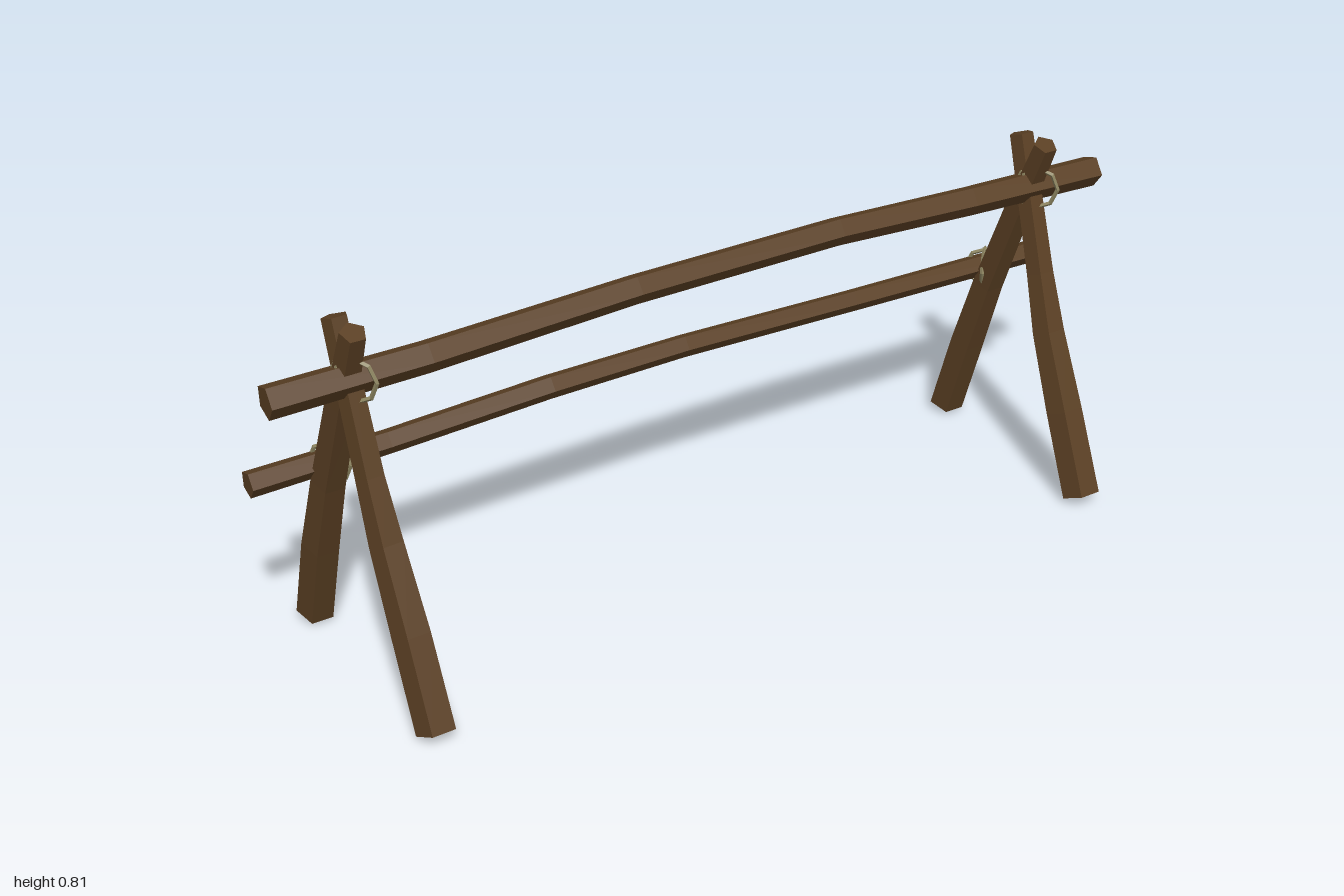
import * as THREE from 'three';

const wood = new THREE.MeshStandardMaterial({ color: 0x5a3f23, flatShading: true });
wood.name = 'brown wood';
const rope = new THREE.MeshStandardMaterial({ color: 0x8c8460, flatShading: true });
rope.name = 'straw rope';

// Crooked five-sided log. stations: [x, y, z, radius]; ref: direction of angle zero
function log(name, stations, ref, phase) {
  const sides = 5;
  const pts = stations.map(s => new THREE.Vector3(s[0], s[1], s[2]));
  const last = pts.length - 1;
  const rings = pts.map((p, i) => {
    const t = pts[Math.min(i + 1, last)].clone().sub(pts[Math.max(i - 1, 0)]).normalize();
    const u = ref.clone().addScaledVector(t, -ref.dot(t)).normalize();
    const v = u.clone().cross(t);
    return Array.from({ length: sides }, (_, k) => {
      const a = phase + k / sides * Math.PI * 2;
      return p.clone()
        .addScaledVector(u, Math.cos(a) * stations[i][3])
        .addScaledVector(v, Math.sin(a) * stations[i][3]);
    });
  });
  const out = [];
  const tri = (...vs) => vs.forEach(v => out.push(v.x, v.y, v.z));
  for (let k = 0; k < sides; k++) {
    const n = (k + 1) % sides;
    for (let i = 0; i < last; i++) {
      tri(rings[i][k], rings[i + 1][k], rings[i][n]);
      tri(rings[i][n], rings[i + 1][k], rings[i + 1][n]);
    }
    tri(pts[0], rings[0][k], rings[0][n]);
    tri(pts[last], rings[last][n], rings[last][k]);
  }
  const geo = new THREE.BufferGeometry();
  geo.setAttribute('position', new THREE.Float32BufferAttribute(out, 3));
  geo.computeVertexNormals();
  const mesh = new THREE.Mesh(geo, wood);
  mesh.name = name;
  return mesh;
}

// Two crossed rope loops around a joint
function lashing(name, x, y, z, radius, spread) {
  const g = new THREE.Group();
  g.name = name;
  for (const s of [1, -1]) {
    const loop = new THREE.Mesh(new THREE.TorusGeometry(radius, 0.005, 4, 8), rope);
    loop.name = 'ropeLoop';
    loop.rotation.set(0, Math.PI / 2 + s * 0.75, 0);
    loop.position.set(x, y, z + s * spread);
    g.add(loop);
  }
  return g;
}

export function createModel() {
  const model = new THREE.Group();
  model.name = 'hitchingRail';
  const X = new THREE.Vector3(1, 0, 0), Z = new THREE.Vector3(0, 0, 1);
  const legPhase = THREE.MathUtils.degToRad(54);

  // Crossed leg pairs; frontX and backX are the foot positions
  for (const [side, topX, frontX, backX] of [['left', 0.822, 0.82, 0.828], ['right', -0.83, -0.815, -0.845]]) {
    const fx = f => topX + (frontX - topX) * f, bx = f => topX + (backX - topX) * f;
    model.add(log(side + 'FrontLeg', [
      [fx(1), 0.017, 0.257, 0.043],
      [fx(0.9), 0.2, 0.177, 0.042],
      [fx(0.6), 0.37, 0.102, 0.037],
      [fx(0.3), 0.5, 0.058, 0.031],
      [fx(0), 0.803, -0.039, 0.027]], X, legPhase));
    model.add(log(side + 'BackLeg', [
      [bx(1), 0.017, -0.256, 0.041],
      [bx(0.9), 0.22, -0.19, 0.041],
      [bx(0.6), 0.4, -0.126, 0.037],
      [bx(0.2), 0.62, -0.036, 0.033],
      [bx(0), 0.803, 0.044, 0.027]], X, legPhase));
    model.add(lashing(side + 'TopLashing', topX, 0.693, 0.003, 0.048, 0.02));
    model.add(lashing(side + 'LowerLashing', topX, 0.435, -0.137, 0.044, 0.003));
  }

  // Long rails
  model.add(log('topRail', [
    [-1, 0.688, 0.005, 0.036],
    [-0.67, 0.693, 0.01, 0.034],
    [-0.2, 0.707, 0.001, 0.032],
    [0.3, 0.708, -0.004, 0.032],
    [0.65, 0.696, 0.002, 0.034],
    [1, 0.688, 0.005, 0.036]], Z, 0));
  model.add(log('lowerRail', [
    [-1, 0.433, -0.145, 0.029],
    [-0.7, 0.436, -0.146, 0.027],
    [-0.33, 0.456, -0.139, 0.027],
    [0, 0.457, -0.142, 0.026],
    [0.45, 0.443, -0.146, 0.026],
    [1, 0.433, -0.145, 0.028]], Z, 0));

  return model;
}
